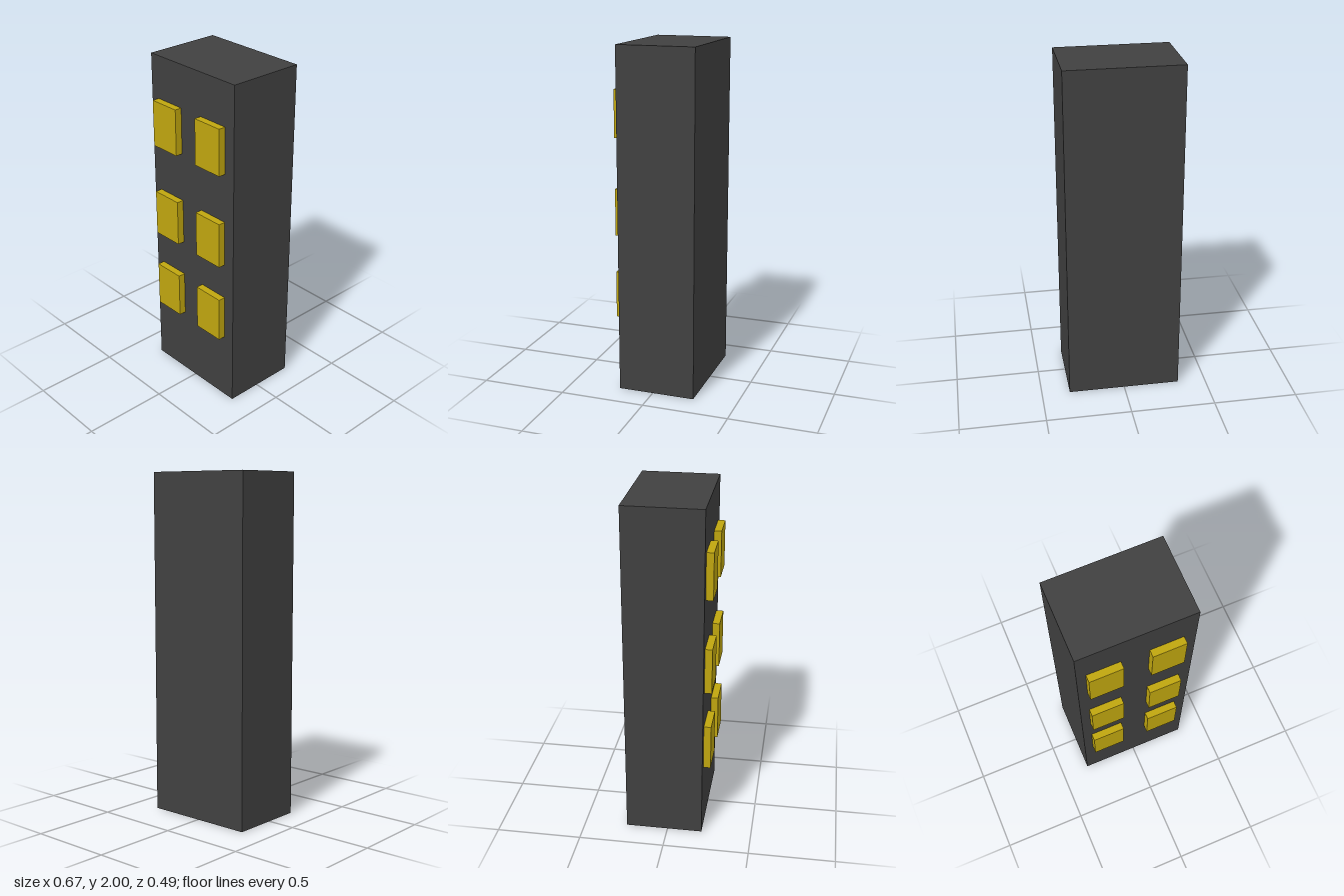
import * as THREE from 'three';

export function createModel() {
  const model = new THREE.Group();
  model.name = 'towerBlock';
  const wall = new THREE.MeshStandardMaterial({ color: 0x404040 });
  const glow = new THREE.MeshStandardMaterial({ color: 0xc0a60f });

  const addBox = (name, size, position, material) => {
    const mesh = new THREE.Mesh(new THREE.BoxGeometry(...size), material);
    mesh.name = name;
    mesh.position.set(...position);
    model.add(mesh);
  };

  // Plain tower body
  const front = 0.205, back = -0.247;
  addBox('tower', [0.666, 2, front - back], [0, 1, (front + back) / 2], wall);

  // Raised windows, two per floor, slightly sunk into the front wall
  const sunk = 0.01, proud = 0.042;
  const z = front + (proud - sunk) / 2;
  [0.556, 1.048, 1.613].forEach((y, floor) => {
    addBox(`rightWindow${floor + 1}`, [0.192, 0.273, proud + sunk], [-0.184, y, z], glow);
    addBox(`leftWindow${floor + 1}`, [0.192, 0.273, proud + sunk], [0.167, y, z], glow);
  });

  return model;
}
